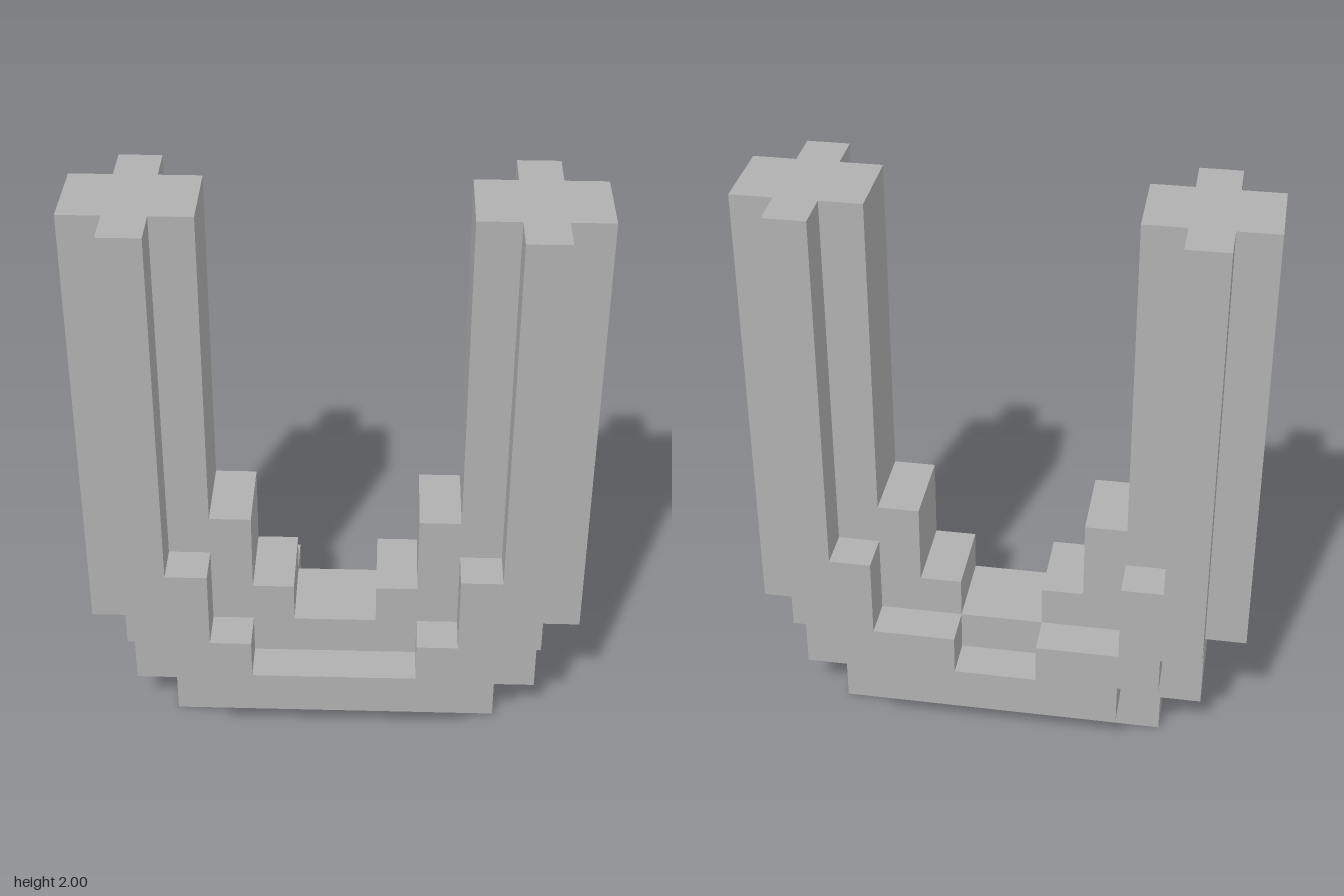
import * as THREE from 'three';

// One grid step of the stepped profile
const U = 1 / 7;

// Extrude a stepped outline, given for the +x half (bottom centre to top centre) and mirrored
function slab(name, half, z0, z1, material) {
  const mirrored = half.map(([x, y]) => [-x, y]).reverse();
  const points = [...half, ...mirrored].map(([x, y]) => new THREE.Vector2(x * U, y * U));
  const geometry = new THREE.ExtrudeGeometry(new THREE.Shape(points), {
    depth: (z1 - z0) * U,
    bevelEnabled: false,
  });
  geometry.translate(0, 0, z0 * U);
  const mesh = new THREE.Mesh(geometry, material);
  mesh.name = name;
  return mesh;
}

export function createModel() {
  const group = new THREE.Group();
  group.name = 'steppedHorseshoe';
  const grey = new THREE.MeshStandardMaterial({ color: 0xb0b0b0 });
  grey.name = 'grey';

  // Wide middle layer
  const core = [
    [4, 0], [4, 1], [5, 1], [5, 3], [6, 3], [6, 14],
    [3, 14], [3, 6], [2, 6], [2, 4], [1, 4], [1, 3],
  ];
  // Narrow ribs share the outer steps; their inner steps differ at x = rib
  const ribOutline = (x) => [
    [3, 1], [3, 2], [4, 2], [4, 3], [5, 3], [5, 14],
    [4, 14], [4, 5], [3, 5], [3, 3], [x, 3], [x, 2],
  ];

  group.add(
    slab('core', core, -1, 1, grey),
    slab('frontRib', ribOutline(2), 1, 2, grey),
    slab('backRib', ribOutline(1), -2, -1, grey),
  );
  return group;
}
